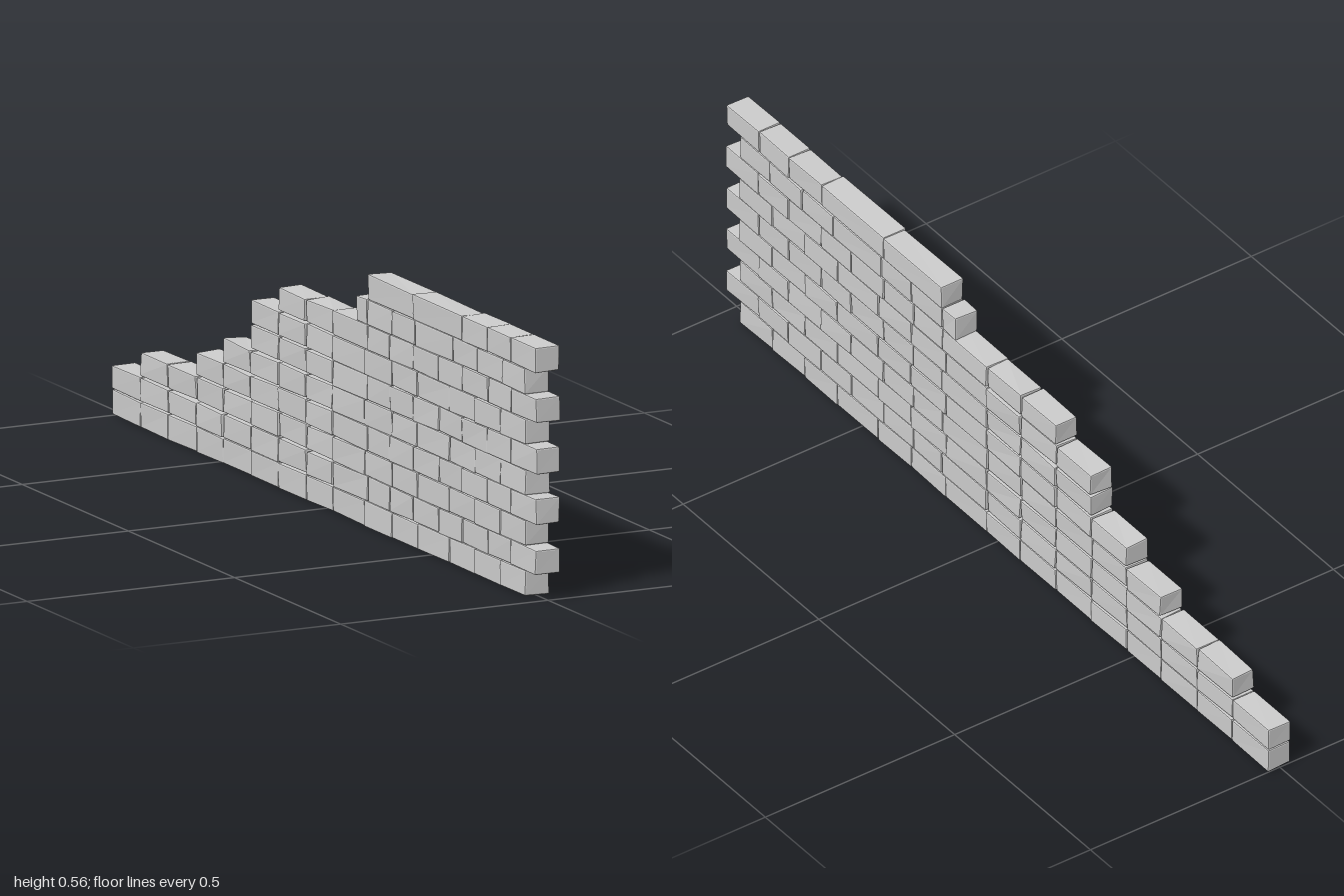
import * as THREE from 'three';
import { RoundedBoxGeometry } from 'three/addons/geometries/RoundedBoxGeometry.js';

const COURSE = 0.0557, BASE = 0.002, HALF = 0.029;

// Small seeded generator so the hand-cut bricks always come out the same
function seeded(seed) {
  return () => {
    seed = (seed * 16807) % 2147483647;
    return seed / 2147483647;
  };
}

// A bevelled block whose eight corners are nudged by a trilinear rule
function brickGeometry(height, length, wobble, rand) {
  const size = [HALF * 2, height, length];
  const geo = new RoundedBoxGeometry(...size, 1, 0.003);
  const nudge = Array.from({ length: 8 }, () =>
    new THREE.Vector3(rand() - 0.5, rand() - 0.5, rand() - 0.5).multiplyScalar(wobble));
  const pos = geo.attributes.position;
  const v = new THREE.Vector3();
  for (let i = 0; i < pos.count; i++) {
    v.fromBufferAttribute(pos, i);
    const t = [v.x, v.y, v.z].map((c, k) => c / size[k] + 0.5);
    nudge.forEach((n, c) => {
      let w = 1;
      for (let k = 0; k < 3; k++) w *= (c >> k) & 1 ? t[k] : 1 - t[k];
      v.addScaledVector(n, w);
    });
    pos.setXYZ(i, v.x, v.y, v.z);
  }
  geo.computeVertexNormals();
  return geo;
}

export function createModel() {
  const wall = new THREE.Group();
  wall.name = 'steppedBrickWall';
  const material = new THREE.MeshStandardMaterial({ color: 0xcccccc, flatShading: true });
  const rand = seeded(4217);

  // Joints along z: two alternating bonded rows, then the stacked stepped end
  const bonded = [
    [0.95, 0.83, 0.71, 0.59, 0.44, 0.32, 0.19, 0.04],
    [1.0, 0.88, 0.77, 0.65, 0.54, 0.42, 0.31, 0.205, 0.04],
  ];
  const stacked = [-0.085, -0.215, -0.345, -0.475, -0.602, -0.735, -0.865, -1.0];
  // Number of stacked bricks in each course, bottom to top
  const steps = [8, 8, 7, 5, 4, 3, 3, 2];

  const courses = steps.map((n, row) => [...bonded[row % 2], ...stacked.slice(0, n)]);
  courses.push([0.95, 0.84, 0.72, 0.605, 0.43, 0.32, 0.205, 0.155]);
  courses.push([1.0, 0.88, 0.77, 0.65, 0.42, 0.205]);

  courses.forEach((joints, row) => {
    const course = new THREE.Group();
    course.name = `course${row + 1}`;
    for (let i = 0; i + 1 < joints.length; i++) {
      const [z0, z1] = [joints[i], joints[i + 1]];
      // Loose bricks at the stepped end sit with wider gaps
      const loose = z0 < 0.05 && row > 0;
      const height = COURSE - (loose ? 0.004 : 0.0005);
      const length = z0 - z1 - (loose ? 0.003 : 0.001);
      const brick = new THREE.Mesh(
        brickGeometry(height, length, loose ? 0.004 : 0.003, rand), material);
      brick.name = 'brick';
      brick.position.set((rand() - 0.5) * 0.002, BASE + (row + 0.5) * COURSE, (z0 + z1) / 2);
      course.add(brick);
    }
    wall.add(course);
  });
  return wall;
}
